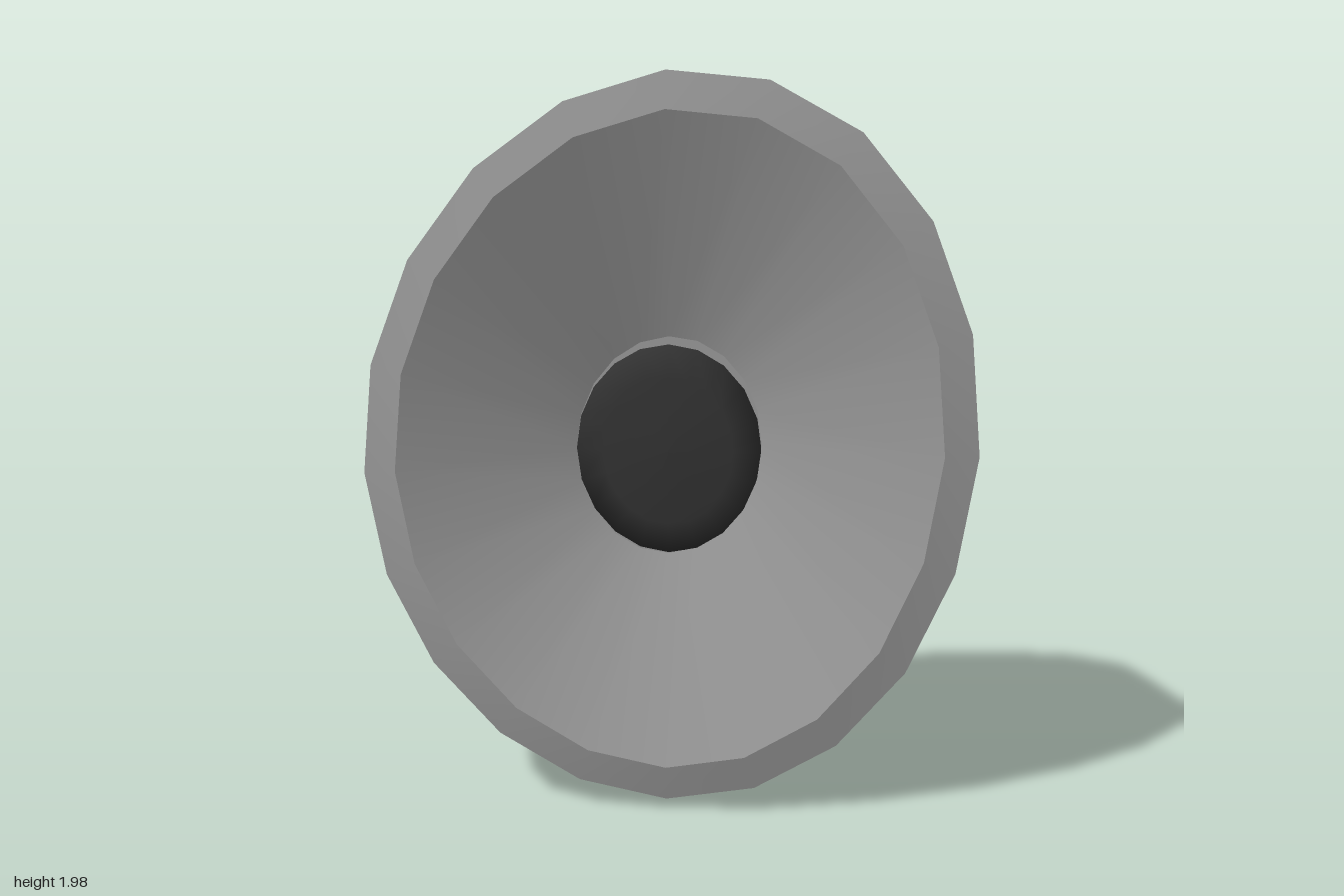
import * as THREE from 'three';

const SIDES = 20;

// One slightly skewed oval ring; the angle runs clockwise from the top.
function ring({ x = 0, y, rx, ry, skew = 0, egg = 0, z, zc = 0, zs = 0 }) {
  return Array.from({ length: SIDES }, (_, i) => {
    const t = (i / SIDES) * Math.PI * 2, c = Math.cos(t), s = Math.sin(t);
    return [
      x + rx * s + egg * 0.02 * Math.sin(2 * t),
      y + ry * c + skew * s + egg * (0.02 * Math.cos(2 * t) + 0.025 * Math.sin(2 * t)),
      z + zc * c + zs * s,
    ];
  });
}

// Smooth band of faces between two rings
function band(name, outer, inner, material) {
  const index = [];
  for (let i = 0; i < SIDES; i++) {
    const j = (i + 1) % SIDES;
    index.push(i, i + SIDES, j, j, i + SIDES, j + SIDES);
  }
  const g = new THREE.BufferGeometry();
  g.setAttribute('position', new THREE.Float32BufferAttribute([...outer, ...inner].flat(), 3));
  g.setIndex(index);
  g.computeVertexNormals();
  const mesh = new THREE.Mesh(g, material);
  mesh.name = name;
  return mesh;
}

export function createModel() {
  const group = new THREE.Group();
  group.name = 'dishedDisc';
  const grey = new THREE.MeshStandardMaterial({ color: 0x9c9c9c, side: THREE.DoubleSide });
  grey.name = 'grey metal';
  const dark = new THREE.MeshStandardMaterial({ color: 0x333333, side: THREE.DoubleSide });
  dark.name = 'dark hub';

  const backRim = ring({ x: -0.02, y: 0.953, rx: 0.803, ry: 0.945, skew: 0.03, egg: 0.4, z: -0.112, zc: -0.056, zs: -0.02 });
  const frontRim = ring({ y: 1.003, rx: 0.811, ry: 0.975, skew: 0.039, egg: 1, z: 0.137, zc: 0.009 });
  const lipEdge = ring({ y: 1.006, rx: 0.722, ry: 0.877, skew: 0.035, egg: 0.9, z: 0.158, zc: 0.006 });
  const hole = ring({ x: -0.01, y: 1.0, rx: 0.252, ry: 0.3, skew: 0.01, z: -0.03 });
  const holeInner = ring({ x: -0.01, y: 0.995, rx: 0.15, ry: 0.18, z: -0.03 });

  // Thin shell, open at the back
  group.add(
    band('outerWall', backRim, frontRim, grey),
    band('frontLip', frontRim, lipEdge, grey),
    band('dish', lipEdge, hole, grey),
    band('hubSeat', hole, holeInner, grey),
  );

  // Flat bevelled hub, seen from both sides
  const profile = [[0.001, -0.03], [0.7, -0.024], [1, 0], [0.7, 0.024], [0.001, 0.03]]
    .map(([r, h]) => new THREE.Vector2(r, h));
  const hubGeometry = new THREE.LatheGeometry(profile, SIDES);
  hubGeometry.rotateX(Math.PI / 2);
  hubGeometry.scale(0.252, 0.288, 1);
  const hub = new THREE.Mesh(hubGeometry, dark);
  hub.name = 'hub';
  hub.position.set(-0.01, 0.99, -0.03);
  group.add(hub);

  return group;
}
